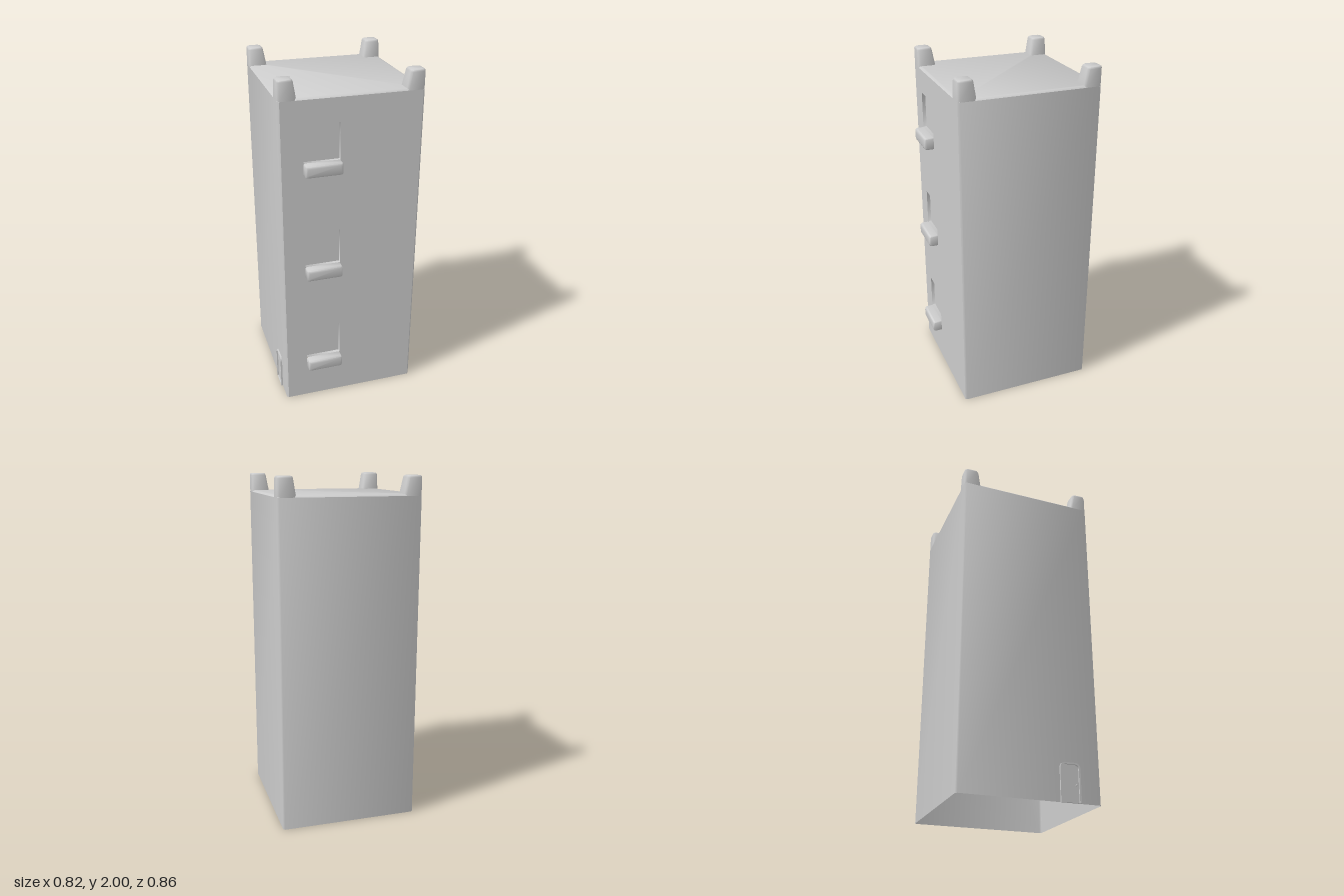
import * as THREE from 'three';
import { toCreasedNormals } from 'three/addons/utils/BufferGeometryUtils.js';

const X0 = -0.3975, X1 = 0.4075, Z0 = -0.43, Z1 = 0.375; // wall planes
const ROOF = 1.9, BEVEL = 0.01;

// Bevelled rectangle, counter-clockwise, starting and ending on the max-b side.
function ring(a0, a1, b0, b1, c, place) {
  return [
    [a1 - c, b1], [a1, b1 - c], [a1, b0 + c], [a1 - c, b0],
    [a0 + c, b0], [a0, b0 + c], [a0, b1 - c], [a0 + c, b1],
  ].map(([a, b]) => place(a, b));
}
const level = (x0, x1, z0, z1, y, c = BEVEL) =>
  ring(x0, x1, z0, z1, c, (x, z) => [x, y, z]);
const upright = (x0, x1, y0, y1, z, c) =>
  ring(x0, x1, y0, y1, c, (x, y) => [x, y, z]).reverse();

// Skin joining successive rings, optionally closed around and capped at the end.
function loft(rings, closed = true, cap = true) {
  const n = rings[0].length, index = [];
  for (let i = 0; i < rings.length - 1; i++) {
    for (let j = 0; j < (closed ? n : n - 1); j++) {
      const k = (j + 1) % n;
      const a = i * n + j, b = i * n + k;
      index.push(a, b, b + n, a, b + n, a + n);
    }
  }
  const last = (rings.length - 1) * n;
  if (cap) for (let j = 1; j < n - 1; j++) index.push(last, last + j, last + j + 1);
  const geo = new THREE.BufferGeometry();
  geo.setAttribute('position', new THREE.Float32BufferAttribute(rings.flat(2), 3));
  geo.setIndex(index);
  return toCreasedNormals(geo, 0.85);
}

// Door outline with rounded top corners.
function doorOutline(target, z0, z1, top, r) {
  target.moveTo(z0, 0);
  target.lineTo(z1, 0);
  target.lineTo(z1, top - r);
  target.absarc(z1 - r, top - r, r, 0, Math.PI / 2, false);
  target.absarc(z0 + r, top - r, r, Math.PI / 2, Math.PI, false);
  target.lineTo(z0, 0);
  return target;
}

export function createModel() {
  const model = new THREE.Group();
  const material = new THREE.MeshStandardMaterial({ color: 0xcccccc, side: THREE.DoubleSide });
  const add = (name, geometry, parent = model) => {
    const mesh = new THREE.Mesh(geometry, material);
    mesh.name = name;
    parent.add(mesh);
    return mesh;
  };

  // Hollow tower, open underneath: side and back walls, then the roof
  const foot = level(X0, X1, Z0, Z1, 0);
  const eaves = level(X0, X1, Z0, Z1, ROOF - BEVEL);
  add('sideAndBackWalls', loft([foot, eaves], false, false));
  add('roof', loft([eaves,
    level(X0 + BEVEL, X1 - BEVEL, Z0 + BEVEL, Z1 - BEVEL, ROOF)]));

  // Front wall, pierced for each window
  const front = new THREE.Shape();
  front.moveTo(X0 + BEVEL, 0);
  front.lineTo(X1 - BEVEL, 0);
  front.lineTo(X1 - BEVEL, ROOF - BEVEL);
  front.lineTo(X0 + BEVEL, ROOF - BEVEL);
  const wx0 = -0.267, wx1 = -0.062;

  for (let i = 0; i < 3; i++) {
    const y = 0.21 + i * 0.6325, sillTop = y + 0.07, top = y + 0.28;
    const hole = new THREE.Path();
    hole.moveTo(wx0, y);
    hole.lineTo(wx0, top);
    hole.lineTo(wx1, top);
    hole.lineTo(wx1, y);
    front.holes.push(hole);

    const win = new THREE.Group();
    win.name = 'window';
    model.add(win);
    // Shallow recess with its pane
    const recess = [Z1, Z1 - 0.02].map((z) => upright(wx0, wx1, sillTop, top, z, 0.001).reverse());
    add('windowRecess', loft(recess), win);
    // Projecting rounded sill, hollow behind
    const sill = [[0, 0], [0.041, 0], [0.051, 0.004], [0.055, 0.013]].map(([out, inset]) =>
      upright(wx0 + inset, wx1 + 0.003 - inset, y + inset, sillTop - inset, Z1 + out, 0.006).reverse());
    add('windowSill', loft(sill), win);
  }
  add('frontWall', new THREE.ShapeGeometry(front).translate(0, 0, Z1));

  // Tapered posts on the four roof corners, flush with the walls outside
  for (const right of [0, 1]) {
    for (const fore of [0, 1]) {
      const section = (y, w, inset) => {
        const x = right ? X1 - w : X0, z = fore ? Z1 - w : Z0;
        return level(x + inset, x + w - inset, z + inset, z + w - inset, y, 0.012);
      };
      add('cornerPost', loft([
        section(ROOF - BEVEL, 0.102, 0), section(1.988, 0.086, 0),
        section(1.996, 0.085, 0.002), section(2, 0.085, 0.007)]));
    }
  }

  // Door low on the side wall: frame, panel and knob
  const door = new THREE.Group();
  door.name = 'door';
  model.add(door);
  const frame = doorOutline(new THREE.Shape(), 0.137, 0.255, 0.215, 0.03);
  frame.holes.push(doorOutline(new THREE.Path(), 0.147, 0.245, 0.205, 0.022));
  const frameGeo = new THREE.ExtrudeGeometry(frame, { depth: 0.01, bevelEnabled: false, curveSegments: 6 });
  add('doorFrame', frameGeo.rotateY(-Math.PI / 2).translate(X0, 0, 0), door);
  const panel = new THREE.ShapeGeometry(doorOutline(new THREE.Shape(), 0.147, 0.245, 0.205, 0.022), 6);
  add('doorPanel', panel.rotateY(-Math.PI / 2).translate(X0 - 0.002, 0, 0), door);
  add('doorKnob', new THREE.SphereGeometry(0.005, 10, 8).translate(X0 - 0.006, 0.095, 0.23), door);

  return model;
}
